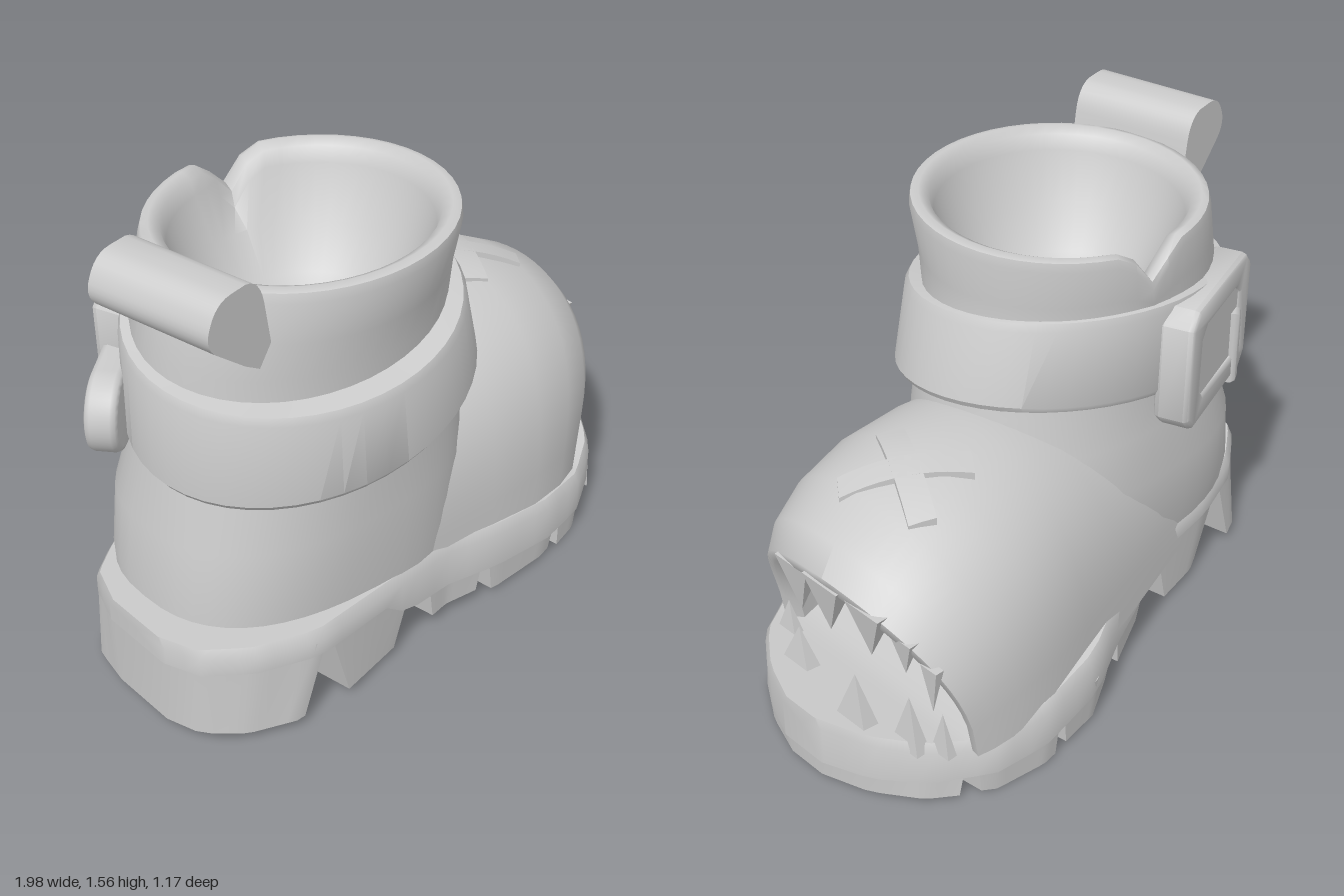
import * as THREE from 'three';
import { toCreasedNormals } from 'three/addons/utils/BufferGeometryUtils.js';
import { RoundedBoxGeometry } from 'three/addons/geometries/RoundedBoxGeometry.js';

const { sin, cos, min, max, PI } = Math;
const clamp = THREE.MathUtils.clamp;
const grey = new THREE.MeshStandardMaterial({ color: 0xcccccc, side: THREE.DoubleSide });
grey.name = 'light grey';

// Skin a list of equal rings of [x, y, z]; optionally close the ring and fan the ends
function loft(rings, { closed = true, capStart = false, capEnd = false, crease = 0.7 } = {}) {
  const n = rings[0].length, pos = rings.flat(2), idx = [];
  const cols = closed ? n : n - 1;
  for (let r = 0; r < rings.length - 1; r++) {
    for (let i = 0; i < cols; i++) {
      const a = r * n + i, b = r * n + (i + 1) % n;
      idx.push(a, a + n, b, b, a + n, b + n);
    }
  }
  const cap = (r, flip) => {
    const c = [0, 1, 2].map(k => rings[r].reduce((s, p) => s + p[k], 0) / n);
    const ci = pos.length / 3;
    pos.push(...c);
    for (let i = 0; i < cols; i++) {
      const a = r * n + i, b = r * n + (i + 1) % n;
      idx.push(ci, flip ? b : a, flip ? a : b);
    }
  };
  if (capStart) cap(0, false);
  if (capEnd) cap(rings.length - 1, true);
  const g = new THREE.BufferGeometry();
  g.setAttribute('position', new THREE.Float32BufferAttribute(pos, 3));
  g.setIndex(idx);
  return toCreasedNormals(g, crease);
}

// Piecewise linear lookup: rows are [x, value, value...]
function look(table, x, col = 1) {
  x = clamp(x, table[0][0], table.at(-1)[0]);
  const i = max(1, table.findIndex(r => r[0] >= x));
  const a = table[i - 1], b = table[i];
  return a[col] + (b[col] - a[col]) * (x - a[0]) / (b[0] - a[0]);
}

// Level oval ring inside x0..x1, z0..z1; dy bends it by angle, power below 1 squares it off
const bulge = (v, power) => Math.sign(v) * Math.pow(Math.abs(v), power);
function oval(y, x0, x1, z0, z1, dy = () => 0, power = 1, n = 48) {
  return Array.from({ length: n }, (_, i) => {
    const t = i / n * 2 * PI;
    return [(x0 + x1) / 2 + (x1 - x0) / 2 * bulge(cos(t), power), y + dy(t),
      (z0 + z1) / 2 + (z1 - z0) / 2 * bulge(sin(t), power)];
  });
}

// Sole plan: x, right edge z, left edge z
const outline = [
  [-0.98, 0.02, 0.28], [-0.93, -0.12, 0.4], [-0.8, -0.22, 0.49], [-0.6, -0.29, 0.55],
  [-0.3, -0.33, 0.51], [0, -0.45, 0.47], [0.2, -0.55, 0.49], [0.45, -0.585, 0.48],
  [0.65, -0.56, 0.43], [0.82, -0.45, 0.32], [0.93, -0.31, 0.17], [0.99, -0.15, 0.02]];
const soleTop = [[-0.98, 0.36], [-0.6, 0.34], [0, 0.3], [0.4, 0.25], [0.7, 0.22], [0.99, 0.25]];
const soleBottom = [[-0.98, 0.27], [-0.3, 0.24], [-0.2, 0.16], [0, 0.14], [0.5, 0.09], [0.99, 0.08]];

function soleSlab() {
  const xs = [];
  for (let i = 0; i <= 40; i++) xs.push(0.005 - 0.985 * cos(i / 40 * PI));
  return loft(xs.map(x => {
    const r = look(outline, x, 1), l = look(outline, x, 2);
    const t = look(soleTop, x), b = look(soleBottom, x);
    return [[x, t, r + 0.02], [x, t, l - 0.02], [x, t - 0.03, l], [x, b, l], [x, b, r], [x, t - 0.03, r]];
  }), { capStart: true, capEnd: true });
}

// Tread block running across the sole, slanted and narrowing downwards
function lug(t0, t1, b0, b1, yb) {
  const rings = [];
  for (let i = 0; i <= 10; i++) {
    const f = i / 10, xt = t0 + (t1 - t0) * f, xb = b0 + (b1 - b0) * f;
    const shift = 0.14 * clamp(min((xt + 0.98) * 4, (0.99 - xt) * 4), 0, 1);
    const r = look(outline, xt - shift, 1), l = look(outline, xt, 2);
    const y = min(look(soleTop, xt) - 0.04, look(soleBottom, xt) + 0.06);
    rings.push([[xt - shift, y, r + 0.004], [xt, y, l - 0.004], [xb, yb, l - 0.015], [xb - shift, yb, r + 0.015]]);
  }
  return loft(rings, { capStart: true, capEnd: true, crease: 0.5 });
}

// Arch over the foot: base x, crown x, middle z, half width, crown y
function arch([xb, xt, zc, w, top]) {
  const y0 = 0.2;
  return Array.from({ length: 33 }, (_, i) => {
    const p = i / 32 * PI, c = max(0, sin(p)), s = Math.pow(c, 0.65);
    return [xb + (xt - xb) * c, y0 + (top - y0) * s, zc + w * cos(p)];
  });
}

export function createModel() {
  const boot = new THREE.Group();
  boot.name = 'boot';
  const add = (name, geo, parent = boot) => {
    const m = new THREE.Mesh(geo, grey);
    m.name = name;
    parent.add(m);
    return m;
  };

  // Sole and tread
  add('sole', soleSlab());
  [[-0.98, -0.57, -0.97, -0.65, 0.03], [-0.55, -0.19, -0.47, -0.24, 0.025],
    [-0.09, 0.15, -0.06, 0.13, 0.045], [0.17, 0.51, 0.2, 0.49, 0.015],
    [0.53, 0.8, 0.54, 0.78, 0], [0.82, 0.99, 0.84, 0.98, 0.015]]
    .forEach(l => add('treadBlock', lug(...l)));

  // Ankle shaft: full at the heel, hollow at the top, with a notch in the rim
  const flat = () => 0;
  const notch = t => -0.11 * Math.exp(-(((t - 4.83) / 0.13) ** 2));
  const rim = t => 0.012 * cos(t) + 0.01 * sin(t) + notch(t);
  add('shaft', loft([
    oval(0.26, -0.9, 0.25, -0.3, 0.48, flat, 0.8), oval(0.4, -0.895, 0.25, -0.33, 0.49, flat, 0.8),
    oval(0.6, -0.87, 0.26, -0.35, 0.495, flat, 0.84), oval(0.78, -0.83, 0.26, -0.33, 0.49, flat, 0.92),
    oval(0.92, -0.81, 0.24, -0.32, 0.5), oval(1.18, -0.81, 0.19, -0.33, 0.51),
    oval(1.3, -0.78, 0.185, -0.34, 0.53, t => notch(t) * 0.4), oval(1.43, -0.755, 0.2, -0.35, 0.555, rim),
    oval(1.46, -0.745, 0.195, -0.345, 0.55, rim), oval(1.467, -0.72, 0.17, -0.325, 0.525, rim),
    oval(1.45, -0.685, 0.14, -0.295, 0.495, rim), oval(1.4, -0.67, 0.125, -0.28, 0.48, rim),
    oval(1.24, -0.61, 0.06, -0.21, 0.41), oval(1.11, -0.52, -0.03, -0.12, 0.32), oval(1.03, -0.4, -0.15, 0, 0.2),
  ], { capEnd: true, crease: 1 }));

  // Toe cap with an open, hollow mouth
  add('toeCap', loft([
    [-0.45, -0.2, 0.08, 0.39, 0.8], [-0.05, 0.08, 0.01, 0.45, 0.9], [0.2, 0.27, -0.02, 0.485, 0.93],
    [0.4, 0.5, -0.05, 0.51, 0.93], [0.55, 0.7, -0.07, 0.5, 0.88], [0.66, 0.84, -0.09, 0.475, 0.8],
    [0.72, 0.91, -0.11, 0.445, 0.725], [0.715, 0.905, -0.11, 0.415, 0.69], [0.69, 0.87, -0.11, 0.385, 0.66],
    [0.52, 0.64, -0.08, 0.385, 0.66], [0.38, 0.46, -0.06, 0.35, 0.6], [0.33, 0.36, -0.06, 0.2, 0.42],
    [0.32, 0.33, -0.06, 0.02, 0.22],
  ].map(arch), { closed: false, crease: 0.9 }));

  // Teeth: x, z, base y, tip y, half width
  const tooth = (name, x, z, base, tip, w) => {
    const g = new THREE.ConeGeometry(w * 1.35, Math.abs(tip - base), 4, 1);
    g.rotateY(PI / 4);
    const m = add(name, toCreasedNormals(g, 0.5));
    m.scale.x = 0.45;
    m.position.set(x, (base + tip) / 2, z);
    m.rotation.x = tip < base ? PI : 0;
  };
  [[0.82, 0.18, 0.6, 0.53, 0.05], [0.86, 0.06, 0.67, 0.48, 0.075], [0.88, -0.1, 0.7, 0.51, 0.08],
    [0.87, -0.27, 0.69, 0.51, 0.075], [0.845, -0.39, 0.63, 0.5, 0.045], [0.82, -0.475, 0.56, 0.39, 0.035]]
    .forEach(t => tooth('upperTooth', ...t));
  [[0.76, 0.26, 0.2, 0.34, 0.05], [0.84, 0.11, 0.2, 0.37, 0.075], [0.89, -0.21, 0.2, 0.41, 0.08],
    [0.83, -0.38, 0.2, 0.39, 0.06], [0.78, -0.47, 0.2, 0.35, 0.04]]
    .forEach(t => tooth('lowerTooth', ...t));

  // Crossed patch hugging the crown of the toe cap
  [1.08, -0.64].forEach(turn => {
    const g = new THREE.BoxGeometry(0.4, 0.045, 0.085, 10, 1, 2);
    g.rotateY(turn);
    g.translate(0.555, 0, -0.085);
    const p = g.attributes.position;
    for (let i = 0; i < p.count; i++) {
      const x = p.getX(i), z = p.getZ(i);
      p.setY(i, p.getY(i) + 0.922 - 0.9 * max(0, x - 0.45) ** 2 - 0.9 * (z + 0.06) ** 2);
    }
    add('crossPatch', toCreasedNormals(g.toNonIndexed(), 0.6));
  });

  // Ankle strap, tilted up towards the front of the leg
  const low = t => 0.085 * cos(t) - 0.055 * sin(t);
  const high = t => 0.05 * cos(t) - 0.06 * sin(t);
  add('strap', loft([
    oval(0.885, -0.78, 0.22, -0.3, 0.5, low), oval(0.87, -0.84, 0.275, -0.35, 0.565, low),
    oval(0.89, -0.855, 0.285, -0.36, 0.58, low), oval(1.155, -0.855, 0.22, -0.36, 0.59, high),
    oval(1.18, -0.845, 0.205, -0.355, 0.58, high), oval(1.19, -0.77, 0.15, -0.3, 0.5, high),
  ], { crease: 0.6 }));

  // Strap tail with a round end
  const tail = new THREE.Shape();
  tail.moveTo(0.14, -0.11);
  tail.lineTo(-0.12, -0.11);
  tail.absarc(-0.12, 0, 0.11, -PI / 2, -PI * 1.5, true);
  tail.lineTo(0.14, 0.11);
  const tailMesh = add('strapTail', toCreasedNormals(new THREE.ExtrudeGeometry(tail, {
    depth: 0.06, bevelEnabled: true, bevelSize: 0.02, bevelThickness: 0.02, bevelSegments: 2 }), 0.8));
  tailMesh.position.set(-0.76, 0.91, -0.22);
  tailMesh.rotation.y = 0.707;

  // Buckle: rounded plate with a slightly raised frame
  const buckle = new THREE.Group();
  buckle.name = 'buckle';
  buckle.position.set(-0.5, 1.01, -0.305);
  buckle.rotation.set(0, 0.36, 0.04);
  boot.add(buckle);
  add('bucklePlate', new RoundedBoxGeometry(0.46, 0.38, 0.11, 3, 0.03), buckle);
  const square = (path, h, v) => path.setFromPoints(
    [[-h, -v + 0.04], [-h + 0.04, -v], [h - 0.04, -v], [h, -v + 0.04], [h, v - 0.04], [h - 0.04, v], [-h + 0.04, v], [-h, v - 0.04]]
      .map(p => new THREE.Vector2(...p)));
  const frame = square(new THREE.Shape(), 0.245, 0.195);
  frame.holes.push(square(new THREE.Path(), 0.18, 0.135));
  add('buckleFrame', toCreasedNormals(new THREE.ExtrudeGeometry(frame, {
    depth: 0.08, bevelEnabled: true, bevelSize: 0.015, bevelThickness: 0.02, bevelSegments: 2 }), 0.8), buckle)
    .position.z = -0.045;

  // Pull loop at the back of the rim
  const loop = new THREE.Shape();
  loop.moveTo(-0.97, 1.41);
  loop.quadraticCurveTo(-1.01, 1.45, -0.985, 1.5);
  loop.quadraticCurveTo(-0.96, 1.56, -0.9, 1.56);
  loop.lineTo(-0.84, 1.56);
  loop.quadraticCurveTo(-0.78, 1.55, -0.765, 1.47);
  loop.lineTo(-0.74, 1.33);
  loop.lineTo(-0.79, 1.27);
  loop.lineTo(-0.85, 1.31);
  loop.lineTo(-0.97, 1.41);
  const loopGeo = new THREE.ExtrudeGeometry(loop, { depth: 0.42, bevelEnabled: false, curveSegments: 6 });
  loopGeo.translate(0.85, 0, 0);
  const loopMesh = add('pullLoop', toCreasedNormals(loopGeo, 0.8));
  loopMesh.position.set(-0.85, 0, 0.035);
  loopMesh.rotation.y = 0.2;

  return boot;
}
